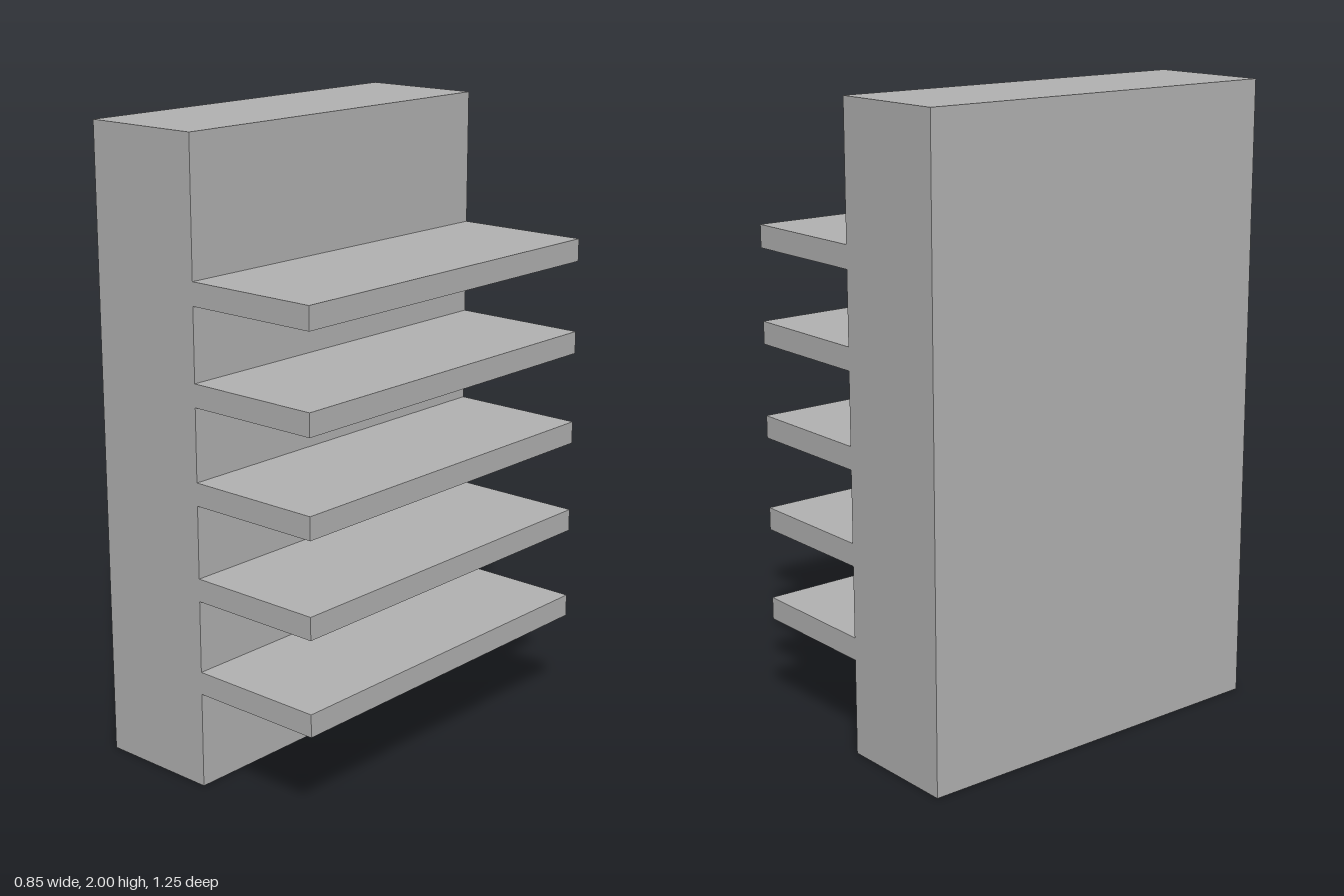
import * as THREE from 'three';

export function createModel() {
  const group = new THREE.Group();
  const grey = new THREE.MeshStandardMaterial({ color: 0xb2b2b2 });
  grey.name = 'grey';
  const depth = 1.25;

  // Box given by its x and y extents, spanning the full depth
  const slab = (name, x0, x1, y0, y1) => {
    const mesh = new THREE.Mesh(new THREE.BoxGeometry(x1 - x0, y1 - y0, depth), grey);
    mesh.name = name;
    mesh.position.set((x0 + x1) / 2, (y0 + y1) / 2, 0);
    group.add(mesh);
  };

  // Upright block
  slab('uprightBlock', -0.425, -0.025, 0, 2);

  // Five evenly spaced fins on the left side
  for (let i = 0; i < 5; i++) {
    const y = 0.305 + i * 0.3;
    slab(`fin${i + 1}`, -0.025, 0.425, y, y + 0.072);
  }
  return group;
}
